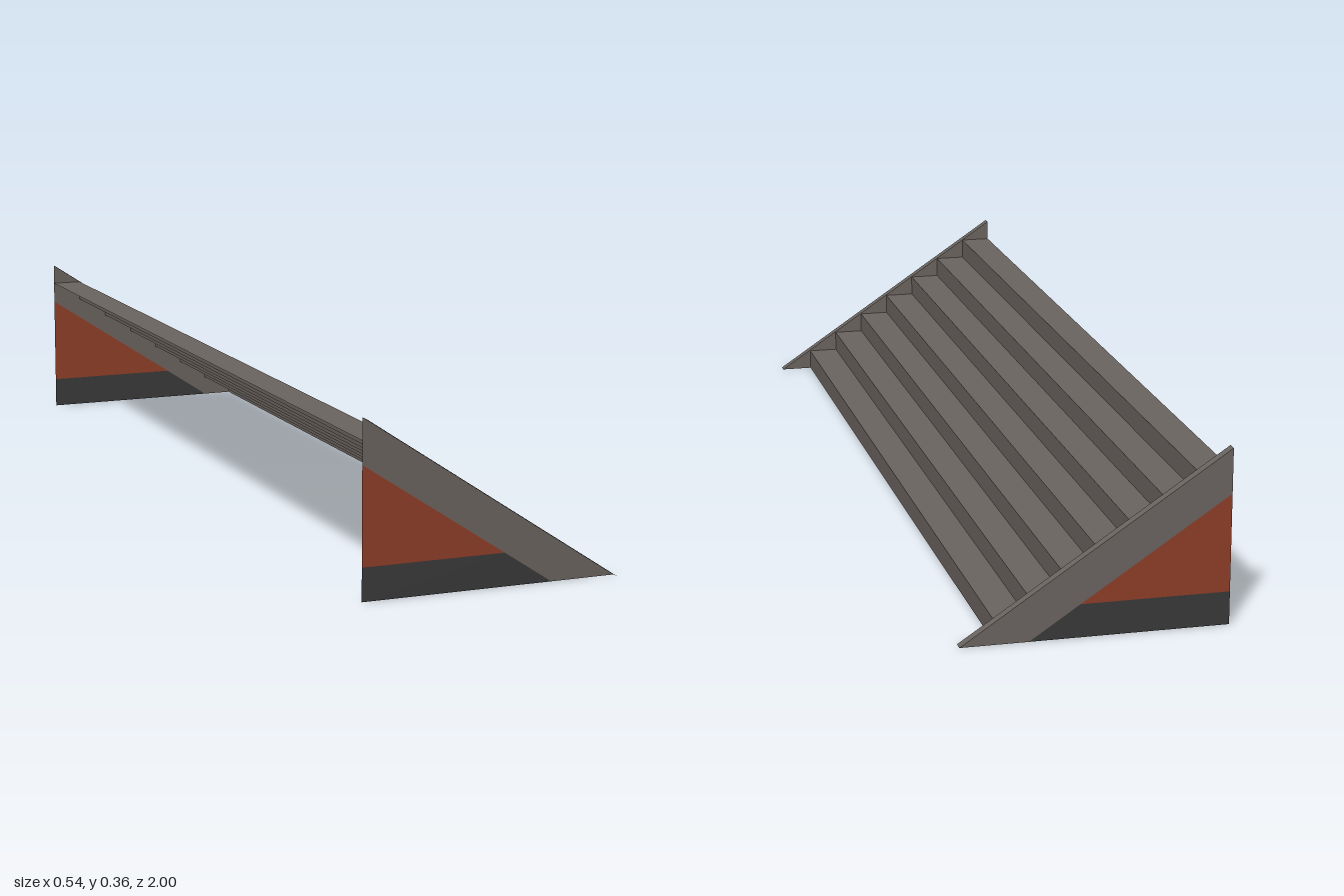
import * as THREE from 'three';

export function createModel() {
  const material = (name, color) => {
    const m = new THREE.MeshStandardMaterial({ color, side: THREE.DoubleSide });
    m.name = name;
    return m;
  };
  const stone = material('grey stone', 0x6c6561);
  const brick = material('red brick', 0x903f28);
  const base = material('dark base', 0x3a3a3a);

  const group = new THREE.Group();
  group.name = 'staircase';
  const add = (parent, geometry, mat, name, x = 0, y = 0, z = 0) => {
    const mesh = new THREE.Mesh(geometry, mat);
    mesh.name = name;
    mesh.position.set(x, y, z);
    parent.add(mesh);
  };
  const plate = (points) =>
    new THREE.ShapeGeometry(new THREE.Shape(points.map(([x, y]) => new THREE.Vector2(x, y))));

  const count = 7, rise = 0.045, run = 0.067, back = -0.27, front = 0.27, top = 0.36;
  const ledge = 0.02, frontZ = 1 - ledge, backZ = -1;
  const width = frontZ - backZ, middleZ = (frontZ + backZ) / 2;

  // Steps: a folded sheet of risers and treads, open behind and underneath
  const steps = new THREE.Group();
  steps.name = 'steps';
  group.add(steps);
  const riser = new THREE.PlaneGeometry(width, rise).rotateY(Math.PI / 2);
  const tread = new THREE.PlaneGeometry(run, width).rotateX(-Math.PI / 2);
  for (let i = 0; i < count; i++) {
    const nose = back + run * (count - i);
    add(steps, riser, stone, 'riser', nose, rise * (i + 0.5), middleZ);
    add(steps, tread, stone, 'tread', nose - run / 2, rise * (i + 1), middleZ);
  }

  // Side walls: flat stringer, brick panel and footing, with a sloping ledge on top
  const stringer = plate([[back, 0.268], [0.133, 0], [front, 0], [back, top]]);
  const panel = plate([[back, 0.068], [0.031, 0.068], [back, 0.268]]);
  const footing = plate([[back, 0], [0.133, 0], [0.031, 0.068], [back, 0.068]]);
  const slope = new THREE.PlaneGeometry(Math.hypot(front - back, top), ledge)
    .rotateX(-Math.PI / 2)
    .rotateZ(-Math.atan2(top, front - back));
  for (const [name, z] of [['frontWall', frontZ], ['backWall', backZ]]) {
    const wall = new THREE.Group();
    wall.name = name;
    wall.position.z = z;
    group.add(wall);
    add(wall, stringer, stone, 'stringer');
    add(wall, panel, brick, 'brickPanel');
    add(wall, footing, base, 'footing');
    add(wall, slope, stone, 'ledge', 0, top / 2, ledge / 2);
  }
  return group;
}
